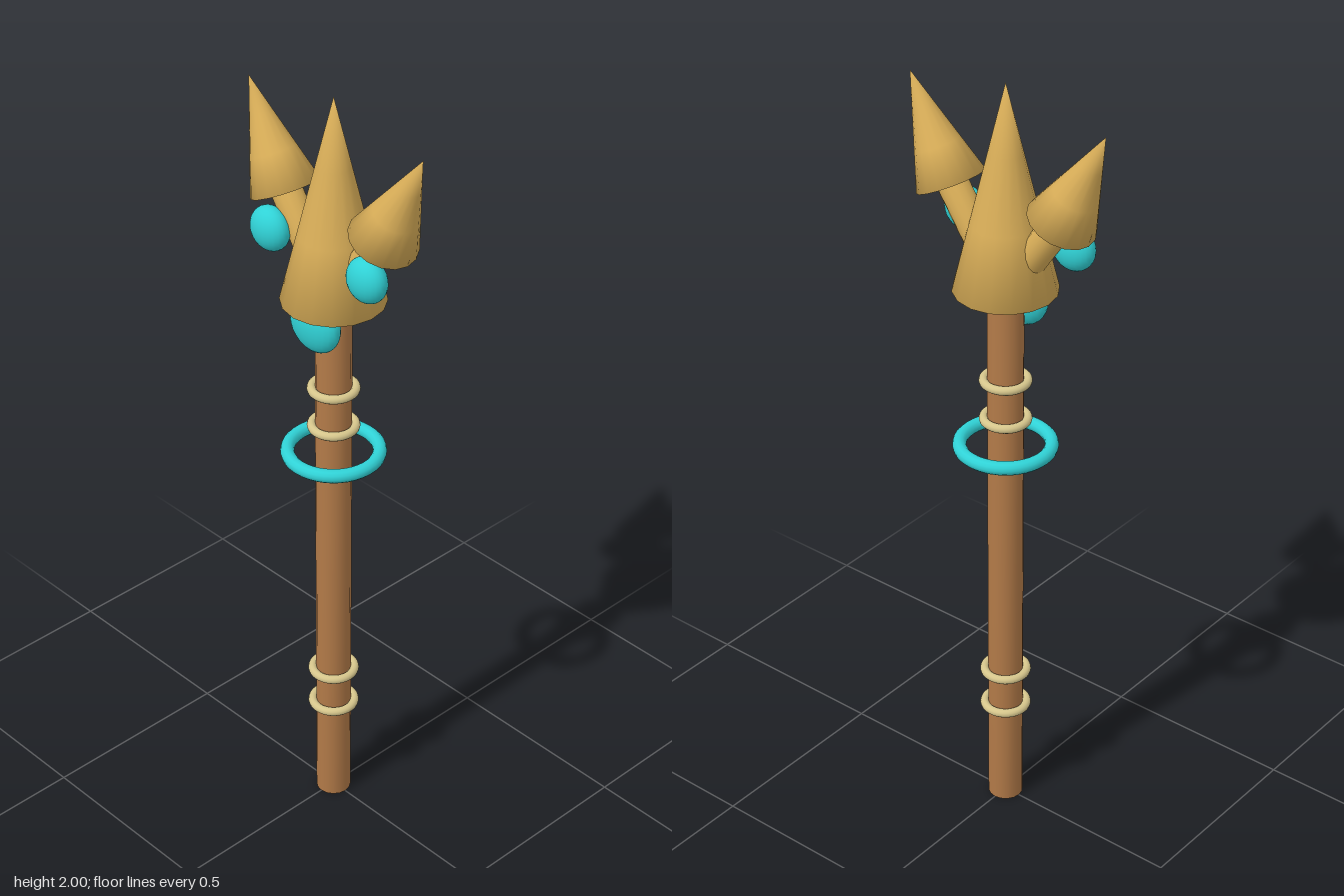
import * as THREE from 'three';
import { mergeVertices } from 'three/addons/utils/BufferGeometryUtils.js';

// Weld all corners so caps and sides share smooth normals
function soft(geo) {
  geo.deleteAttribute('uv');
  geo.deleteAttribute('normal');
  const welded = mergeVertices(geo, 1e-4);
  welded.computeVertexNormals();
  return welded;
}

export function createModel() {
  const group = new THREE.Group();
  const colour = (name, hex) => {
    const m = new THREE.MeshStandardMaterial({ color: hex });
    m.name = name;
    return m;
  };
  const wood = colour('wood', 0xb27a48);
  const gold = colour('gold', 0xd9ae58);
  const turquoise = colour('turquoise', 0x30d2d6);
  const bone = colour('bone', 0xd6c68c);

  const add = (name, geo, mat, x, y, z = 0) => {
    const mesh = new THREE.Mesh(geo, mat);
    mesh.name = name;
    mesh.position.set(x, y, z);
    group.add(mesh);
    return mesh;
  };

  // Shaft
  add('shaft', soft(new THREE.CylinderGeometry(0.044, 0.044, 1.52, 16)), wood, 0, 0.76);

  // Bindings and the large loose ring
  const ring = (name, y, radius, tube, mat) => {
    add(name, new THREE.TorusGeometry(radius, tube, 12, 40), mat, 0, y).rotation.x = Math.PI / 2;
  };
  for (const y of [0.285, 0.39, 1.13, 1.235]) ring('bindingRing', y, 0.053, 0.011, bone);
  ring('guardRing', 1.057, 0.111, 0.017, turquoise);

  // Centre prong
  add('centreProng', soft(new THREE.ConeGeometry(0.126, 0.52, 16, 3)), gold, 0, 1.74);

  // Flattened gems on the front
  const gem = (name, x, y, z, r) =>
    add(name, new THREE.SphereGeometry(r, 24, 16), turquoise, x, y, z).scale.z = 0.039 / r;
  gem('centreGem', 0, 1.441, 0.058, 0.076);

  // Mirrored side prongs, each with an arm and gem
  for (const side of [1, -1]) {
    const label = side > 0 ? 'left' : 'right';
    const prong = add(label + 'Prong', soft(new THREE.ConeGeometry(0.085, 0.272, 16, 3)),
      gold, side * 0.221, 1.828);
    prong.rotation.z = -side * 0.45;

    const from = new THREE.Vector2(0.02, 1.5);
    const to = new THREE.Vector2(0.17, 1.722);
    const arm = add(label + 'Arm',
      soft(new THREE.CylinderGeometry(0.038, 0.038, from.distanceTo(to), 14)),
      gold, side * (from.x + to.x) / 2, (from.y + to.y) / 2);
    arm.rotation.z = -side * Math.atan2(to.x - from.x, to.y - from.y);

    gem(label + 'Gem', side * 0.16, 1.62, 0.049, 0.056);
  }
  return group;
}
